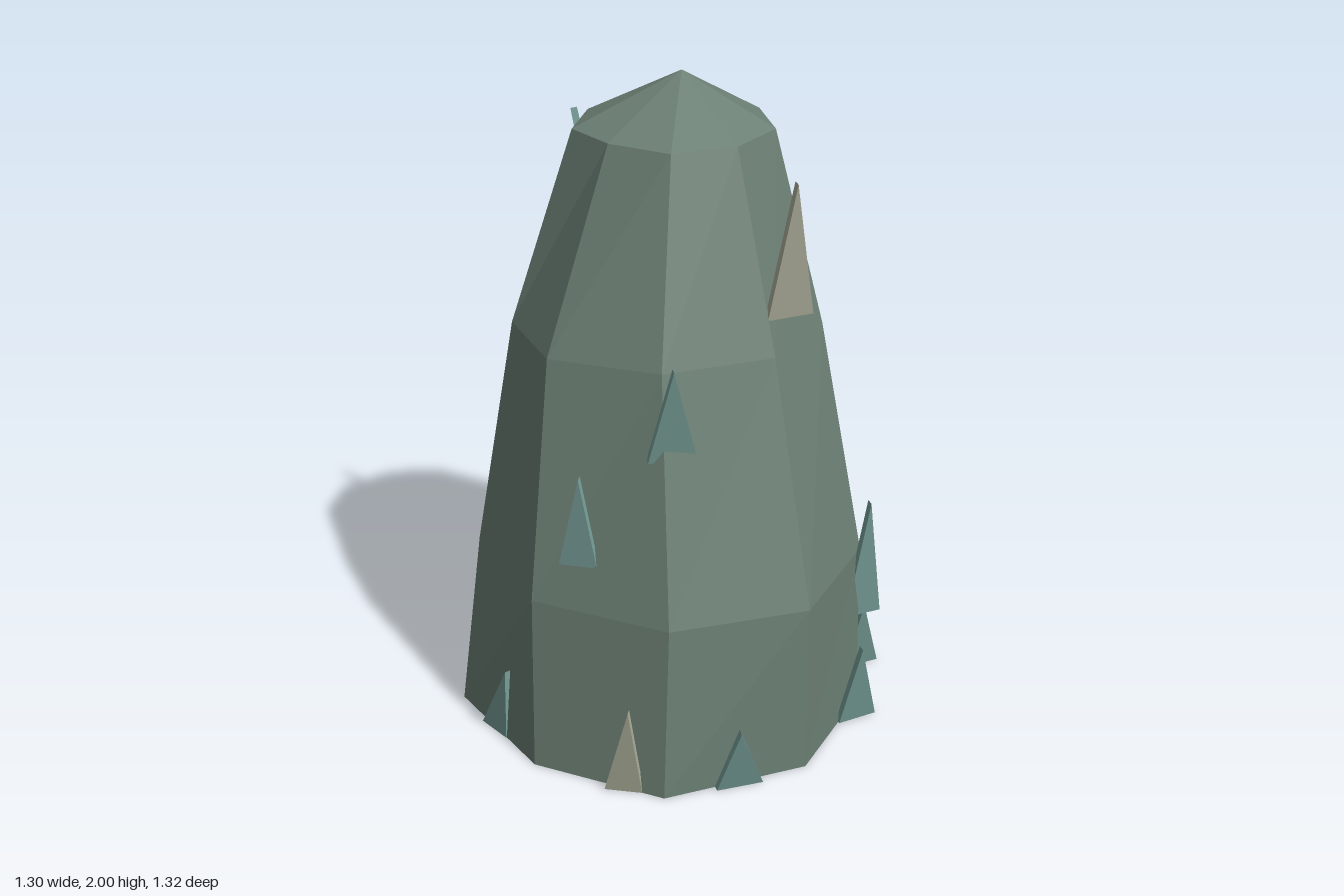
import * as THREE from 'three';
import { ConvexGeometry } from 'three/addons/geometries/ConvexGeometry.js';

// Nine-sided rock cross-sections from the ground up: height, then x,z pairs
const RINGS = [
  [0, [0.61, 0.03, 0.41, 0.39, 0.065, 0.605, -0.38, 0.52, -0.625, 0.17, -0.645, -0.27, -0.29, -0.59, 0.15, -0.66, 0.5, -0.43]],
  [0.55, [0.6, 0.03, 0.4, 0.39, 0.06, 0.61, -0.35, 0.5, -0.6, 0.14, -0.56, -0.28, -0.28, -0.54, 0.15, -0.62, 0.47, -0.38]],
  [1.28, [0.46, -0.01, 0.31, 0.28, 0.05, 0.42, -0.28, 0.35, -0.5, 0.09, -0.46, -0.2, -0.25, -0.42, 0.09, -0.47, 0.38, -0.27]],
  [1.86, [0.27, -0.01, 0.2, 0.18, 0.02, 0.26, -0.17, 0.22, -0.27, 0.05, -0.29, -0.12, -0.16, -0.26, 0.05, -0.28, 0.21, -0.19]],
];
const SIDES = 9;

function rockGeometry() {
  const positions = [], index = [];
  for (const [y, ring] of RINGS) {
    for (let i = 0; i < SIDES; i++) positions.push(ring[2 * i], y, ring[2 * i + 1]);
  }
  const bottom = positions.length / 3, apex = bottom + 1;
  positions.push(0, 0, 0, 0.03, 2, -0.05);
  const last = (RINGS.length - 1) * SIDES;
  for (let i = 0; i < SIDES; i++) {
    const j = (i + 1) % SIDES;
    for (let r = 0; r < last; r += SIDES) {
      const a = r + i, b = r + j, c = a + SIDES, d = b + SIDES;
      index.push(a, c, b, b, c, d);
    }
    index.push(last + i, apex, last + j, i, j, bottom);
  }
  const indexed = new THREE.BufferGeometry();
  indexed.setAttribute('position', new THREE.Float32BufferAttribute(positions, 3));
  indexed.setIndex(index);
  const geometry = indexed.toNonIndexed(); // separate faces give hard facets
  geometry.computeVertexNormals();
  return geometry;
}

// Thin triangular plate between two base corners and a tip
function shardGeometry(corners) {
  const [a, b, tip] = corners.map((p) => new THREE.Vector3(...p));
  const half = b.clone().sub(a).cross(tip.clone().sub(a)).setLength(0.01);
  const points = [];
  for (const p of [a, b, tip]) {
    for (const s of [-1, 1]) {
      const q = p.clone().addScaledVector(half, s);
      q.y = Math.max(q.y, 0);
      points.push(q);
    }
  }
  return new ConvexGeometry(points);
}

// Each shard: base corner, base corner, tip
const TEAL_SHARDS = [
  [[-0.335, 1.03, 0.36], [-0.2, 1.03, 0.405], [-0.31, 1.34, 0.46]],
  [[-0.535, 0.69, 0.2], [-0.455, 0.69, 0.28], [-0.51, 0.99, 0.28]],
  [[-0.225, 0, 0.56], [-0.085, 0, 0.595], [-0.2, 0.245, 0.65]],
  [[0.285, 0, 0.465], [0.415, 0, 0.475], [0.3, 0.31, 0.55]],
  [[0.365, 0.31, 0.37], [0.485, 0.31, 0.385], [0.38, 0.745, 0.455]],
  [[0.49, 0, 0.215], [0.605, 0, 0.23], [0.495, 0.275, 0.295]],
  [[0.53, 0, 0.01], [0.64, 0, 0.025], [0.575, 0.19, 0.075]],
  [[-0.1, 1.38, -0.29], [-0.04, 1.38, -0.38], [-0.125, 1.82, -0.41]],
  [[-0.645, 0, -0.12], [-0.625, 0, 0], [-0.63, 0.25, 0.02]],
];
const PALE_SHARDS = [
  [[0.045, 1.385, 0.38], [0.185, 1.385, 0.4], [0.07, 1.81, 0.475]],
  [[-0.5, 0, 0.38], [-0.415, 0, 0.455], [-0.475, 0.315, 0.48]],
  [[0.555, 0, -0.285], [0.42, 0, -0.29], [0.5, 0.22, -0.23]],
  [[0.555, 0.67, -0.08], [0.43, 0.67, -0.1], [0.49, 1.0, -0.03]],
];

export function createModel() {
  const stone = new THREE.MeshStandardMaterial({ color: 0x6c8075 });
  stone.name = 'mossy stone';
  const teal = new THREE.MeshStandardMaterial({ color: 0x7ba39d });
  teal.name = 'teal crystal';
  const pale = new THREE.MeshStandardMaterial({ color: 0xb0b29e });
  pale.name = 'pale crystal';

  const model = new THREE.Group();
  model.name = 'crystalRock';
  const add = (name, geometry, material) => {
    const mesh = new THREE.Mesh(geometry, material);
    mesh.name = name;
    model.add(mesh);
  };
  add('rockBody', rockGeometry(), stone);
  TEAL_SHARDS.forEach((s, i) => add(`tealShard${i + 1}`, shardGeometry(s), teal));
  PALE_SHARDS.forEach((s, i) => add(`paleShard${i + 1}`, shardGeometry(s), pale));
  return model;
}
